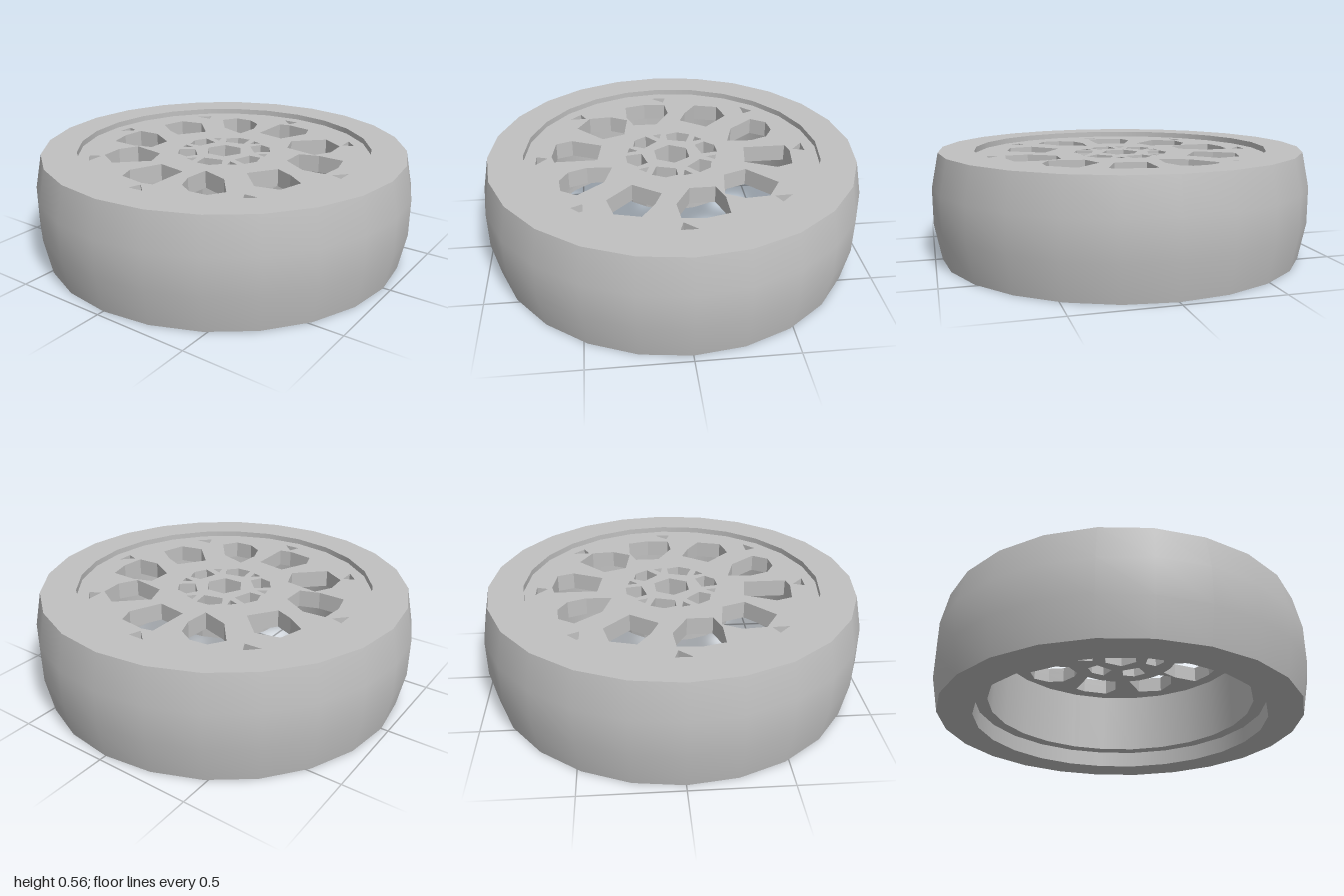
import * as THREE from 'three';

const SIDES = 24;

// Rotate a list of plan points [x, z] clockwise (seen from above) by degrees
const turn = (pts, deg) => {
  const a = THREE.MathUtils.degToRad(deg), c = Math.cos(a), s = Math.sin(a);
  return pts.map(([x, z]) => [x * c - z * s, x * s + z * c]);
};
const toVectors = (pts) => pts.map(([x, z]) => new THREE.Vector2(x, -z));
const ring = (r, n) =>
  Array.from({ length: n }, (_, i) => [r * Math.sin(i * 2 * Math.PI / n), r * Math.cos(i * 2 * Math.PI / n)]);
const repeat = (pts, n, start = 0) =>
  Array.from({ length: n }, (_, i) => turn(pts, start + i * 360 / n));

// Horizontal plate between two heights, cut by plan outlines
function plate(name, outline, holes, y0, y1, material) {
  const shape = new THREE.Shape(toVectors(outline));
  shape.holes = holes.map((h) => new THREE.Path(toVectors(h)));
  const geo = new THREE.ExtrudeGeometry(shape, { depth: y1 - y0, bevelEnabled: false });
  geo.rotateX(-Math.PI / 2).translate(0, y0, 0);
  const mesh = new THREE.Mesh(geo, material);
  mesh.name = name;
  return mesh;
}

// Surface of revolution, smooth along its own profile
function band(name, profile, material) {
  const geo = new THREE.LatheGeometry(profile.map(([r, y]) => new THREE.Vector2(r, y)), SIDES);
  const mesh = new THREE.Mesh(geo, material);
  mesh.name = name;
  return mesh;
}

export function createModel() {
  const grey = new THREE.MeshStandardMaterial({ color: 0xc0c0c0 });
  grey.name = 'wheelGrey';
  const model = new THREE.Group();
  model.name = 'wheel';

  // Tyre: rounded tread, flat sidewalls
  const tyre = new THREE.Group();
  tyre.name = 'tyre';
  tyre.add(
    band('tread', [[0.963, 0], [1, 0.19], [1, 0.38], [0.963, 0.56]], grey),
    band('topSidewall', [[0.963, 0.56], [0.78, 0.56]], grey),
    band('topLip', [[0.78, 0.56], [0.78, 0.44]], grey),
    band('bottomLip', [[0.78, 0.09], [0.78, 0]], grey),
    band('bottomSidewall', [[0.78, 0], [0.963, 0]], grey),
  );

  // Rim barrel, open underneath
  const rim = new THREE.Group();
  rim.name = 'rim';
  rim.add(
    band('barrel', [[0.71, 0.44], [0.71, 0.09]], grey),
    band('rimStep', [[0.71, 0.09], [0.78, 0.09]], grey),
  );

  // Windows between the spokes: five outlines, repeated half a turn round
  const windows = [
    [[-0.03, -0.62], [0.03, -0.635], [0.17, -0.615], [0.2, -0.53], [0.13, -0.37], [-0.03, -0.395]],
    [[-0.37, -0.5], [-0.32, -0.58], [-0.225, -0.59], [-0.145, -0.545], [-0.107, -0.45], [-0.115, -0.32], [-0.26, -0.365]],
    [[0.205, -0.36], [0.35, -0.5], [0.47, -0.43], [0.48, -0.31], [0.43, -0.215], [0.25, -0.24]],
    [[0.36, -0.18], [0.46, -0.215], [0.6, -0.215], [0.63, -0.1], [0.62, 0.02], [0.5, 0.03], [0.36, -0.05]],
    [[0.3, 0.23], [0.395, 0.09], [0.49, 0.13], [0.59, 0.2], [0.555, 0.33], [0.43, 0.36]],
  ].flatMap((w) => [w, turn(w, 180)]);

  // Hub openings: hexagonal bore and six bolt holes
  const bore = turn(ring(0.1, 6), 27);
  const boltHole = [[-0.12, -0.19], [-0.075, -0.24], [0, -0.245], [0.015, -0.16], [-0.085, -0.135]];
  const hubHoles = [bore, ...repeat(boltHole, 6)];

  // Shallow three-sided pits near the edge and between the bolt holes
  const edgePit = [[-0.05, -0.715], [0.035, -0.715], [0.015, -0.655]];
  const hubPit = [[-0.025, -0.235], [0.025, -0.235], [0, -0.185]];
  const pits = [...repeat(edgePit, 8), ...repeat(hubPit, 6, 15)];

  // Spoked face: pitted upper skin over a plain lower plate
  const face = new THREE.Group();
  face.name = 'spokedFace';
  face.add(
    plate('upperFace', ring(0.78, SIDES), [...windows, ...hubHoles, ...pits], 0.49, 0.53, grey),
    plate('lowerFace', ring(0.78, SIDES), [...windows, ...hubHoles], 0.44, 0.49, grey),
    plate('hub', ring(0.315, SIDES), hubHoles, 0.38, 0.44, grey),
  );

  model.add(tyre, rim, face);
  return model;
}
